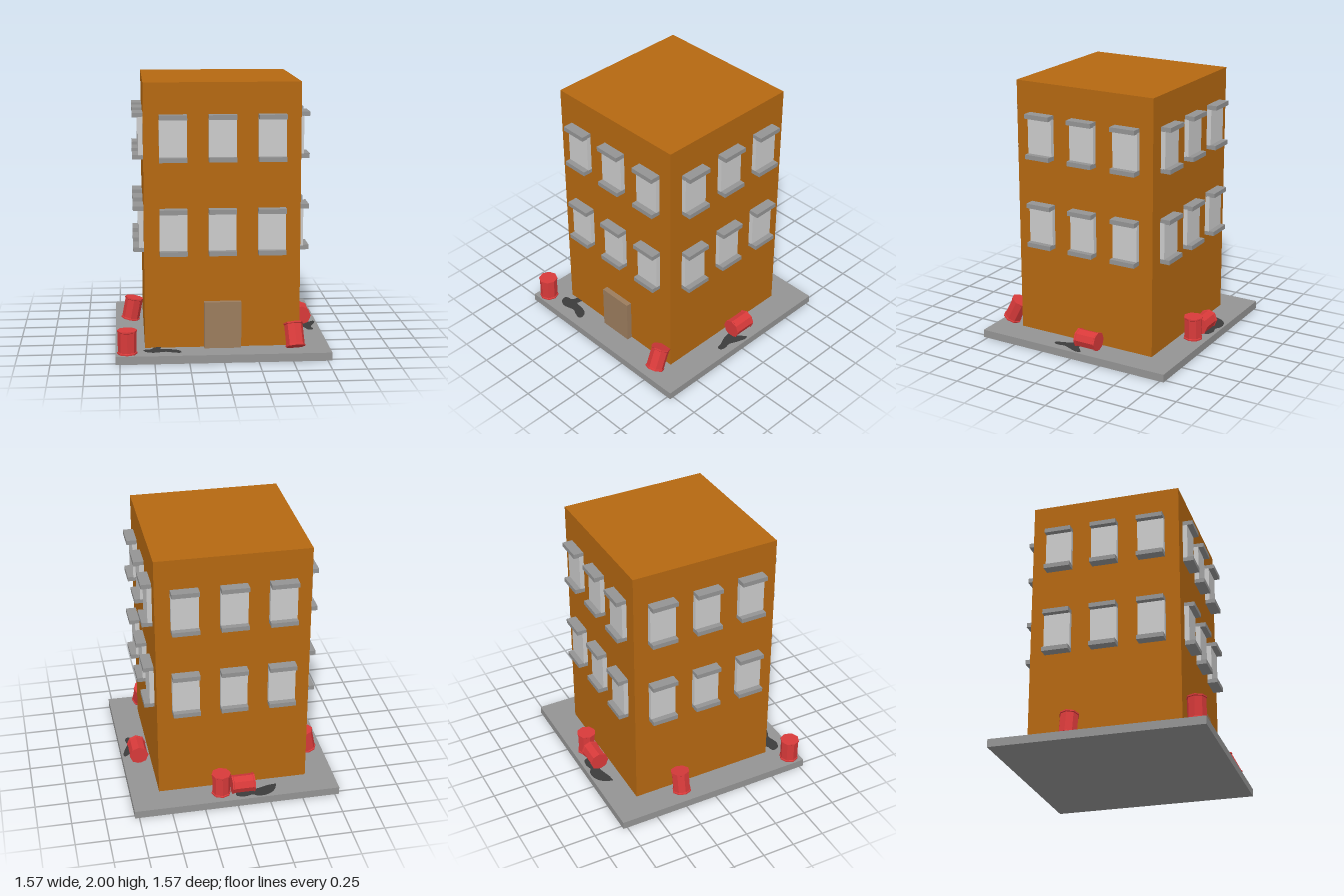
import * as THREE from 'three';

const GROUND = 0.06, WALL = 0.567;

const mat = (color) => new THREE.MeshStandardMaterial({ color, flatShading: true });

export function createModel() {
  const model = new THREE.Group();
  const stone = mat(0x949494), brick = mat(0xb56811), glass = mat(0xcccccc);
  const wood = mat(0x9b7c5d), red = mat(0xd83a3a), oil = mat(0x3b3b3b);
  oil.side = THREE.DoubleSide;

  // Box given by its size, centre x/z and bottom y
  function box(name, w, h, d, x, y, z, material, parent = model) {
    const mesh = new THREE.Mesh(new THREE.BoxGeometry(w, h, d), material);
    mesh.name = name;
    mesh.position.set(x, y + h / 2, z);
    parent.add(mesh);
    return mesh;
  }

  box('pavement', 1.565, GROUND, 1.565, 0, 0, 0, stone);
  box('building', WALL * 2, 2 - GROUND, WALL * 2, 0, GROUND, 0, brick);
  box('door', 0.27, 0.345, 0.06, 0, GROUND, 0.58, wood);

  // Two rows of three windows on each of the four walls
  for (let side = 0; side < 4; side++) {
    const wall = new THREE.Group();
    wall.name = 'wallWindows';
    wall.rotation.y = side * Math.PI / 2;
    for (const y of [0.755, 1.435]) {
      for (const x of [-0.355, 0, 0.358]) {
        box('windowPane', 0.2, 0.28, 0.05, x, y + 0.03, 0.577, glass, wall);
        box('windowSill', 0.2, 0.034, 0.09, x, y, 0.599, stone, wall);
        box('windowLintel', 0.2, 0.034, 0.09, x, y + 0.304, 0.599, stone, wall);
      }
    }
    model.add(wall);
  }

  // Eight-sided barrel with a thin rim at both ends, centred on its middle
  const profile = [[0, -0.0875], [0.073, -0.0875], [0.073, -0.077], [0.068, -0.073],
    [0.068, 0.073], [0.073, 0.077], [0.073, 0.0875], [0, 0.0875]];
  const barrelGeometry = new THREE.LatheGeometry(profile.map(([r, y]) => new THREE.Vector2(r, y)), 8);
  const barrels = [
    // x, y, z, rotation x, rotation z
    ['uprightBarrelFront', -0.697, 0.148, 0.7, 0, 0],
    ['uprightBarrelBack', 0.11, 0.148, -0.67, 0, 0],
    ['leaningBarrelFront', 0.52, 0.165, 0.655, -0.46, 0.06],
    ['leaningBarrelSide', -0.651, 0.153, -0.233, 0, -0.19],
    ['fallenBarrelBack', -0.055, 0.128, -0.675, 0, Math.PI / 2],
    ['fallenBarrelSide', 0.66, 0.128, -0.083, Math.PI / 2, 0],
  ];
  for (const [name, x, y, z, rx, rz] of barrels) {
    const barrel = new THREE.Mesh(barrelGeometry, red);
    barrel.name = name;
    barrel.position.set(x, y, z);
    barrel.rotation.set(rx, 0, rz);
    model.add(barrel);
  }

  // Spilled puddles, as smooth outlines in x and z
  const puddles = [
    [[-.5, .56], [-.45, .56], [-.455, .615], [-.395, .62], [-.33, .645], [-.305, .69], [-.32, .718],
      [-.37, .705], [-.415, .685], [-.46, .695], [-.51, .705], [-.56, .685], [-.58, .64], [-.56, .62], [-.52, .61]],
    [[-.32, -.645], [-.305, -.695], [-.27, -.74], [-.21, -.768], [-.15, -.765], [-.12, -.745], [-.06, -.757],
      [0, -.74], [0, -.7], [-.06, -.67], [-.14, -.68], [-.21, -.665], [-.26, -.65]],
    [[.76, -.075], [.768, -.04], [.745, .03], [.722, .085], [.73, .14], [.718, .178], [.688, .178],
      [.675, .13], [.65, .075], [.638, .03], [.638, -.02], [.69, -.02], [.725, -.05]],
  ];
  for (const outline of puddles) {
    const curve = new THREE.SplineCurve([...outline, outline[0]].map(([x, z]) => new THREE.Vector2(x, -z)));
    const shape = new THREE.Shape(curve.getPoints(48).slice(0, -1));
    const puddle = new THREE.Mesh(new THREE.ShapeGeometry(shape), oil);
    puddle.name = 'puddle';
    puddle.rotation.x = -Math.PI / 2;
    puddle.position.y = GROUND + 0.003;
    model.add(puddle);
  }

  return model;
}
